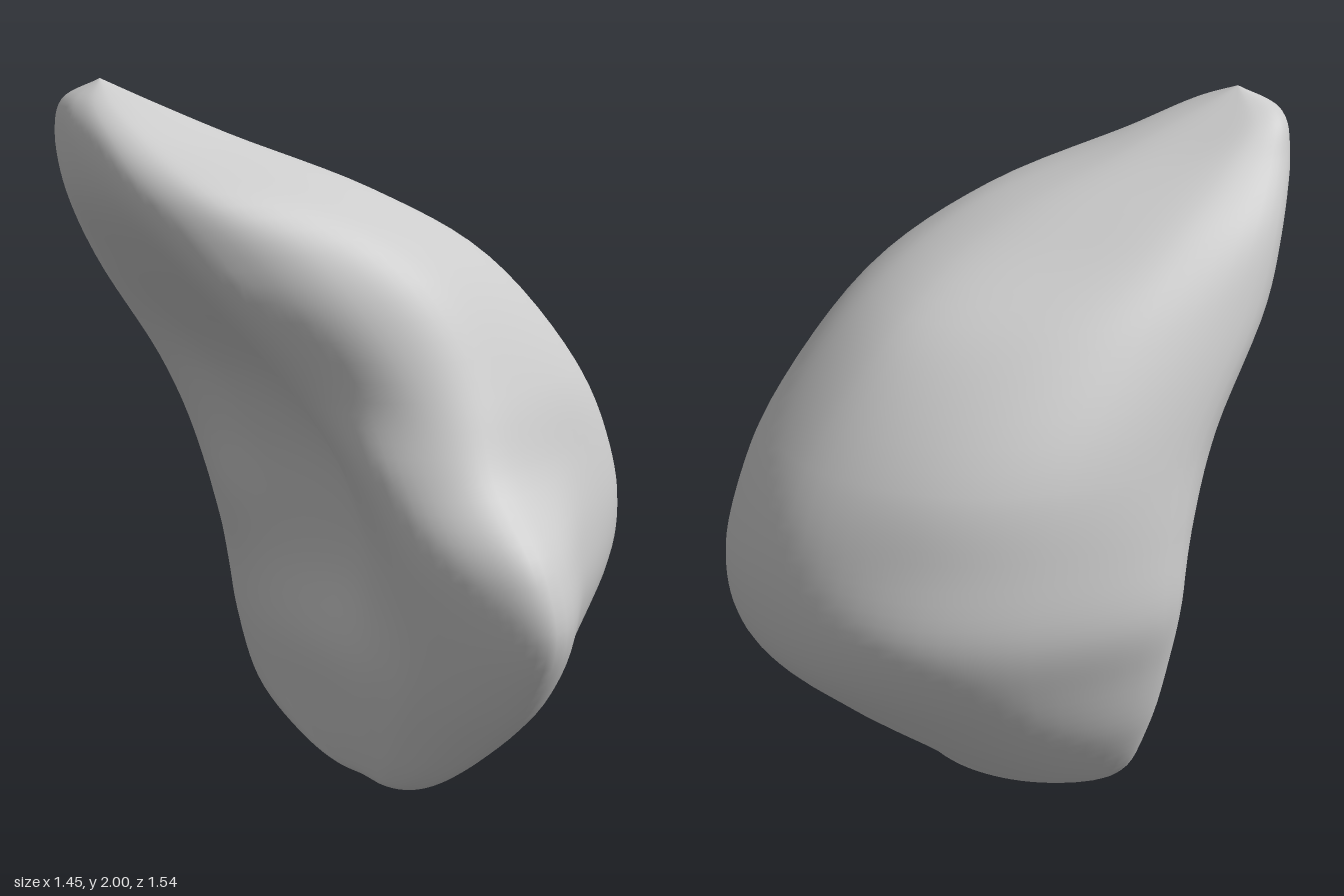
import * as THREE from 'three';

// Horizontal cross-sections as [x, z] loops: back rim, back, right, front beak, front lip, hollow left face.
const low = [[-.12, -.53], [.02, -.69], [.28, -.55], [.42, -.33], [.47, -.03], [.4, .25], [.21, .48],
  [-.03, .65], [-.13, .56], [-.18, .37], [-.16, .18], [-.12, -.07], [-.12, -.32]];
const beak = [[-.15, -.52], [.01, -.74], [.38, -.58], [.58, -.36], [.67, -.03], [.58, .28], [.27, .53],
  [-.05, .77], [-.17, .65], [-.23, .43], [-.17, .2], [-.07, -.08], [-.1, -.33]];
const wide = [[-.2, -.53], [.02, -.77], [.42, -.6], [.65, -.35], [.72, -.02], [.61, .3], [.29, .51],
  [-.06, .73], [-.2, .62], [-.27, .42], [-.2, .2], [-.08, -.08], [-.12, -.34]];
const middle = [[-.25, -.58], [-.01, -.755], [.38, -.6], [.6, -.36], [.7, -.02], [.58, .28], [.29, .45],
  [-.05, .56], [-.2, .49], [-.3, .34], [-.26, .15], [-.13, -.1], [-.17, -.38]];
const waist = [[-.34, -.6], [-.09, -.735], [.3, -.6], [.53, -.35], [.61, -.02], [.5, .24], [.24, .4],
  [-.03, .46], [-.2, .39], [-.32, .23], [-.355, .07], [-.25, -.15], [-.27, -.42]];
const shoulder = [[-.53, -.62], [-.32, -.73], [.02, -.6], [.25, -.36], [.37, -.1], [.29, .11], [.1, .25],
  [-.12, .3], [-.32, .23], [-.48, .11], [-.575, -.01], [-.55, -.2], [-.55, -.45]];
const neck = [[-.64, -.58], [-.45, -.7], [-.21, -.58], [-.06, -.36], [.02, -.14], [-.04, .01], [-.15, .07],
  [-.29, .09], [-.45, .06], [-.59, -.01], [-.68, -.13], [-.7, -.3], [-.69, -.47]];
const tip = [[-.67, -.58], [-.56, -.64], [-.44, -.57], [-.36, -.44], [-.31, -.3], [-.34, -.23], [-.4, -.19],
  [-.48, -.18], [-.56, -.18], [-.64, -.2], [-.7, -.26], [-.725, -.38], [-.71, -.48]];

// Rescale a loop so that it fills the given x and z range.
function fit(loop, x0, x1, z0, z1) {
  const xs = loop.map(p => p[0]), zs = loop.map(p => p[1]);
  const map = (v, list, a, b) => {
    const lo = Math.min(...list), hi = Math.max(...list);
    return a + (b - a) * (v - lo) / (hi - lo);
  };
  return loop.map(([x, z]) => [map(x, xs, x0, x1), map(z, zs, z0, z1)]);
}

// Smooth skin through closed loops stacked by height.
function loft(sections, rows, cols) {
  const columns = sections[0].loop.map((_, i) => new THREE.CatmullRomCurve3(
    sections.map(({ y, loop }) => new THREE.Vector3(loop[i][0], y, loop[i][1]))));
  const positions = [], index = [];
  for (let r = 0; r <= rows; r++) {
    const ring = new THREE.CatmullRomCurve3(columns.map(c => c.getPoint(r / rows)), true);
    for (let c = 0; c < cols; c++) positions.push(...ring.getPoint(c / cols).toArray());
  }
  for (let r = 0; r < rows; r++) {
    for (let c = 0; c < cols; c++) {
      const a = r * cols + c, b = r * cols + (c + 1) % cols;
      index.push(a, a + cols, b, b, a + cols, b + cols);
    }
  }
  const geometry = new THREE.BufferGeometry();
  geometry.setAttribute('position', new THREE.Float32BufferAttribute(positions, 3));
  geometry.setIndex(index);
  geometry.computeVertexNormals();
  return geometry;
}

export function createModel() {
  const group = new THREE.Group();
  // The first and last loops close to a point.
  const sections = [
    { y: 0, loop: fit(low, .01, .01, -.04, -.04) },
    { y: .02, loop: fit(low, -.04, .06, -.22, .11) },
    { y: .08, loop: fit(low, -.075, .12, -.4, .26) },
    { y: .2, loop: fit(low, -.12, .25, -.59, .44) },
    { y: .4, loop: low },
    { y: .62, loop: beak },
    { y: .8, loop: wide },
    { y: 1, loop: middle },
    { y: 1.2, loop: waist },
    { y: 1.5, loop: shoulder },
    { y: 1.7, loop: neck },
    { y: 1.85, loop: tip },
    { y: 1.94, loop: fit(tip, -.69, -.49, -.59, -.33) },
    { y: 2, loop: fit(tip, -.6, -.6, -.46, -.46) },
  ];
  const body = new THREE.Mesh(loft(sections, 78, 78), new THREE.MeshStandardMaterial({ color: 0xcccccc }));
  body.name = 'body';
  group.add(body);
  return group;
}
